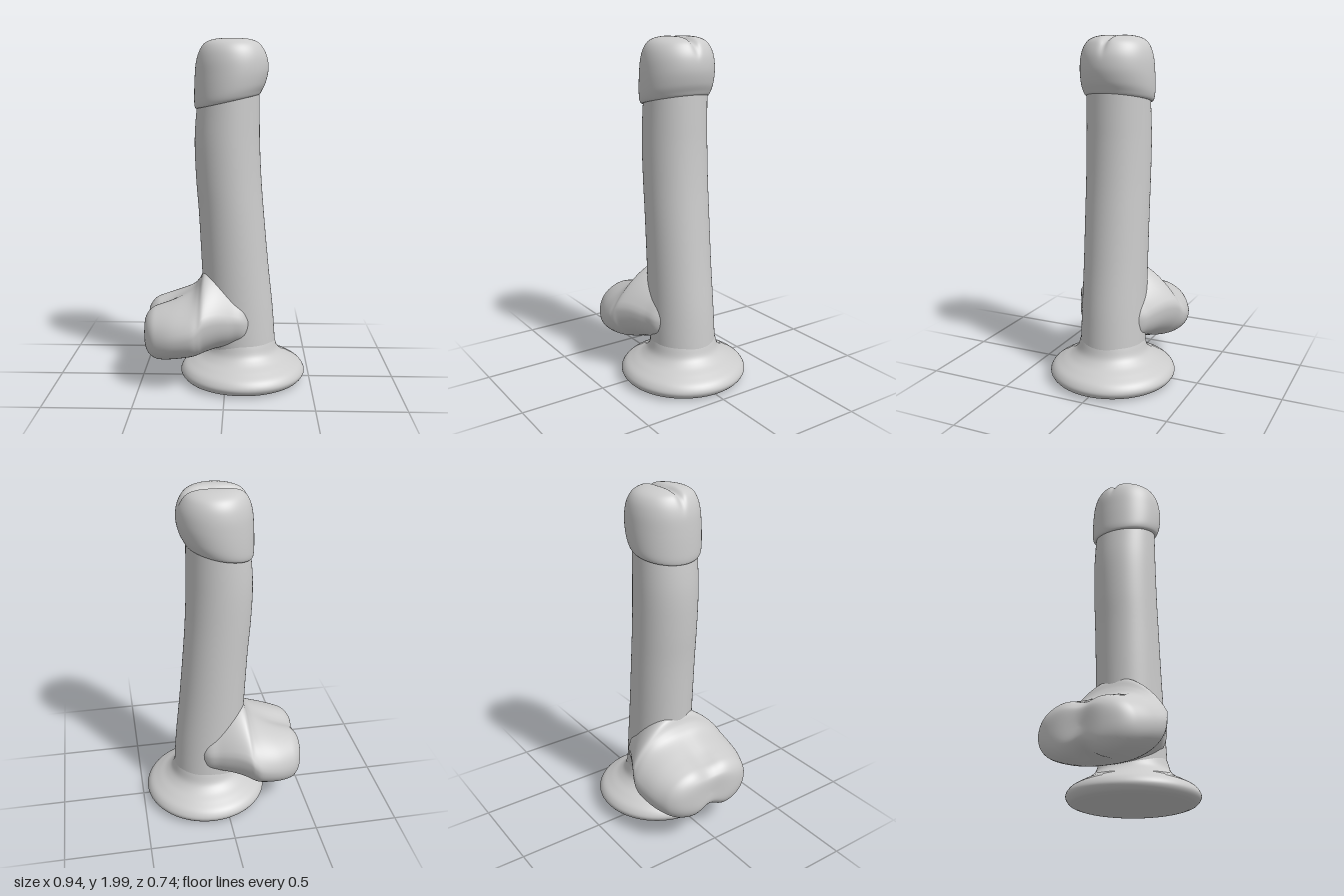
import * as THREE from 'three';
import { mergeVertices } from 'three/addons/utils/BufferGeometryUtils.js';

const material = new THREE.MeshStandardMaterial({ color: 0xcccccc });

// Smoothly interpolates a table of cross-section rows.
function resample(rows, steps) {
  const out = [];
  const at = (i) => rows[Math.min(Math.max(i, 0), rows.length - 1)];
  for (let i = 0; i < rows.length - 1; i++) {
    for (let s = 0; s < steps; s++) {
      out.push(rows[i].map((p1, k) => {
        const p0 = at(i - 1)[k], p2 = at(i + 1)[k], p3 = at(i + 2)[k], t = s / steps;
        const m1 = (p2 - p0) / 2, m2 = (p3 - p1) / 2;
        return p1 + m1 * t + (3 * (p2 - p1) - 2 * m1 - m2) * t * t
          + (2 * (p1 - p2) + m1 + m2) * t * t * t;
      }));
    }
  }
  out.push(rows[rows.length - 1]);
  return out;
}

// Skins closed rings; point(row, angle) returns [x, y, z].
function loft(name, rows, steps, segments, point) {
  const rings = resample(rows, steps);
  const positions = [], index = [];
  rings.forEach((row, r) => {
    for (let u = 0; u < segments; u++) {
      positions.push(...point(row, (u / segments) * Math.PI * 2));
      if (r === rings.length - 1) continue;
      const a = r * segments + u, b = r * segments + (u + 1) % segments;
      index.push(a, a + segments, b, b, a + segments, b + segments);
    }
  });
  let geometry = new THREE.BufferGeometry();
  geometry.setAttribute('position', new THREE.Float32BufferAttribute(positions, 3));
  geometry.setIndex(index);
  geometry = mergeVertices(geometry, 1e-5);
  geometry.computeVertexNormals();
  const mesh = new THREE.Mesh(geometry, material);
  mesh.name = name;
  return mesh;
}

// Upright ring: [y, left x, right x, half depth, tilt]
function uprightPoint([y, x0, x1, rz, tilt], a) {
  const dx = ((x1 - x0) / 2) * Math.cos(a);
  return [(x0 + x1) / 2 + dx, y + tilt * dx, rz * Math.sin(a)];
}

function createBase() {
  const outline = new THREE.CatmullRomCurve3([
    [0.315, 0.008], [0.35, 0.022], [0.37, 0.055], [0.352, 0.092], [0.3, 0.125],
    [0.245, 0.155], [0.21, 0.19], [0.19, 0.25],
  ].map(([x, y]) => new THREE.Vector3(x, y, 0)));
  const points = [[0, 0.008], [0.15, 0.008], [0.3, 0.006]].map(([x, y]) => new THREE.Vector2(x, y));
  outline.getPoints(40).forEach((p) => points.push(new THREE.Vector2(p.x, p.y)));
  const mesh = new THREE.Mesh(new THREE.LatheGeometry(points, 64), material);
  mesh.position.x = 0.1;
  mesh.name = 'base';
  return mesh;
}

function createShaft() {
  return loft('shaft', [
    [0.12, -0.1, 0.3, 0.19, 0],
    [0.25, -0.11, 0.292, 0.19, 0],
    [0.45, -0.13, 0.277, 0.188, 0],
    [0.7, -0.142, 0.25, 0.186, 0],
    [1.0, -0.157, 0.222, 0.186, 0],
    [1.2, -0.172, 0.206, 0.186, 0],
    [1.4, -0.18, 0.196, 0.186, 0],
    [1.55, -0.173, 0.193, 0.184, 0],
    [1.75, -0.15, 0.19, 0.18, 0],
  ], 5, 64, uprightPoint);
}

function createTip() {
  return loft('roundedTip', [
    [1.652, -0.15, 0.175, 0.17, 0.22],
    [1.65, -0.172, 0.192, 0.19, 0.22],
    [1.672, -0.18, 0.205, 0.203, 0.21],
    [1.72, -0.181, 0.225, 0.21, 0.17],
    [1.8, -0.178, 0.24, 0.211, 0.1],
    [1.88, -0.17, 0.236, 0.204, 0.05],
    [1.94, -0.15, 0.215, 0.185, 0.02],
    [1.978, -0.118, 0.185, 0.15, 0],
    [1.997, -0.06, 0.13, 0.09, 0],
    [2.002, 0.035, 0.035, 0, 0],
  ], 6, 128, (row, a) => {
    // Shallow groove across the top
    const [x, y, z] = uprightPoint(row, a);
    const depth = 0.022 * THREE.MathUtils.smoothstep(y, 1.84, 1.97);
    return [x, y - depth * Math.exp(-((z / 0.022) ** 2)), z];
  });
}

function createLobes() {
  // Rings along x: [x, half width, bottom y, top y, narrowing toward the top]
  return loft('twinLobes', [
    [-0.474, 0, 0.31, 0.31, 0],
    [-0.474, 0.13, 0.23, 0.4, 0],
    [-0.458, 0.215, 0.19, 0.438, 0.02],
    [-0.425, 0.27, 0.16, 0.47, 0.05],
    [-0.38, 0.302, 0.148, 0.488, 0.08],
    [-0.3, 0.334, 0.155, 0.514, 0.12],
    [-0.2, 0.35, 0.17, 0.555, 0.2],
    [-0.155, 0.342, 0.18, 0.605, 0.3],
    [-0.12, 0.325, 0.19, 0.67, 0.4],
    [-0.05, 0.287, 0.21, 0.67, 0.4],
    [0.04, 0.238, 0.225, 0.62, 0.35],
    [0.13, 0.185, 0.25, 0.55, 0.3],
    [0.22, 0, 0.36, 0.36, 0],
  ], 5, 80, ([x, w, y0, y1, narrow], a) => {
    const soften = (v) => Math.sign(v) * Math.abs(v) ** 0.82;
    const c = soften(Math.cos(a)), s = soften(Math.sin(a));
    const z = -w * s * (1 - narrow * Math.max(0, c));
    // Cleft between the two lobes, fading toward the shaft
    const outer = 1 - THREE.MathUtils.smoothstep(x, -0.4, -0.15);
    const cleft = Math.exp(-((z / 0.075) ** 2));
    const squeeze = 1 - cleft * (c < 0 ? 0.28 : 0.16) * outer;
    return [x + 0.016 * cleft * outer, (y0 + y1) / 2 + ((y1 - y0) / 2) * c * squeeze, z];
  });
}

export function createModel() {
  const model = new THREE.Group();
  model.name = 'model';
  model.add(createBase(), createShaft(), createTip(), createLobes());
  return model;
}
